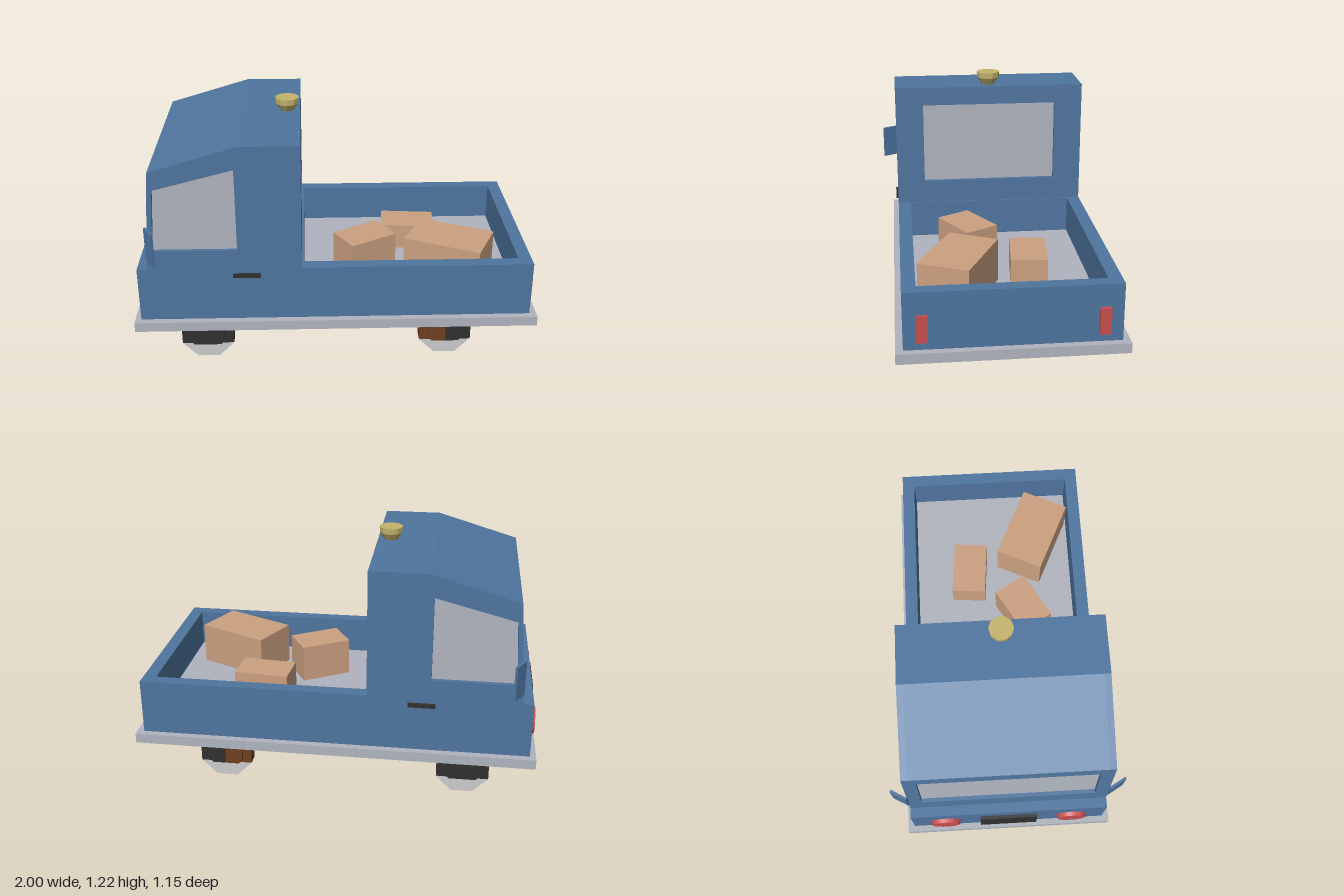
import * as THREE from 'three';

const mat = (name, color, side = THREE.FrontSide) => {
  const m = new THREE.MeshStandardMaterial({ color, side });
  m.name = name;
  return m;
};

export function createModel() {
  const truck = new THREE.Group();
  truck.name = 'pickupTruck';
  const blue = mat('blue paint', 0x4f759f);
  const gray = mat('light gray', 0xb0b4be);
  const dark = mat('dark rubber', 0x303030);
  const pale = mat('pale wheel', 0xcccccc);
  const brown = mat('rust brown', 0x6e4020);
  const tan = mat('cardboard', 0xcba080);
  const red = mat('red lamp', 0xc84e50);
  const yellow = mat('yellow beacon', 0xc4b46c);

  const add = (name, geo, material, parent = truck) => {
    const m = new THREE.Mesh(geo, material);
    m.name = name;
    parent.add(m);
    return m;
  };
  // Box from minimum and maximum corners
  const box = (name, a, b, material) => {
    const g = new THREE.BoxGeometry(b[0] - a[0], b[1] - a[1], b[2] - a[2]);
    g.translate((a[0] + b[0]) / 2, (a[1] + b[1]) / 2, (a[2] + b[2]) / 2);
    return add(name, g, material);
  };
  const points = (list) => list.map(([x, y]) => new THREE.Vector2(x, y));
  const rect = (x0, y0, x1, y1) => [[x0, y0], [x1, y0], [x1, y1], [x0, y1]];
  // Plate of a given depth, with an optional opening
  const plate = (outline, depth, hole) => {
    const s = new THREE.Shape(points(outline));
    if (hole) s.holes.push(new THREE.Path(points(hole)));
    return new THREE.ExtrudeGeometry(s, { depth, bevelEnabled: false });
  };

  // Chassis, lower body with open bed, and bed floor
  box('chassisPlate', [-1, 0.19, -0.53], [1, 0.24, 0.53], gray);
  const body = plate(rect(-0.97, -0.495, 0.965, 0.495), 0.28, rect(-0.16, -0.43, 0.9, 0.43));
  add('lowerBody', body.rotateX(-Math.PI / 2).translate(0, 0.24, 0), blue);
  box('bedFloor', [-0.16, 0.24, -0.43], [0.9, 0.33, 0.43], gray);

  // Cab sides with window openings
  const profile = [[-0.92, 0.52], [-0.17, 0.52], [-0.17, 1.155], [-0.46, 1.155], [-0.88, 1.03]];
  const sideWindow = [[-0.885, 0.62], [-0.48, 0.62], [-0.48, 1.04], [-0.864, 0.94]];
  for (const z of [-0.495, 0.465]) {
    add('cabSide', plate(profile, 0.03, sideWindow).translate(0, 0, z), blue);
  }

  // Cab roof, back wall and sloping front wall
  const roof = [[-0.88, 1.03], [-0.85, 1.0], [-0.46, 1.115], [-0.17, 1.115], [-0.17, 1.155], [-0.46, 1.155]];
  add('cabRoof', plate(roof, 0.93).translate(0, 0, -0.465), blue);
  const back = plate(rect(-0.465, 0.52, 0.465, 1.115), 0.03, rect(-0.35, 0.64, 0.35, 1.06));
  add('cabBackWall', back.rotateY(Math.PI / 2).translate(-0.2, 0, 0), blue);
  const front = plate(rect(-0.465, 0.52, 0.465, 1.03), 0.03, rect(-0.43, 0.62, 0.43, 0.96));
  front.rotateY(Math.PI / 2);
  const p = front.attributes.position;
  for (let i = 0; i < p.count; i++) {
    p.setX(i, p.getX(i) - 0.92 + (p.getY(i) - 0.52) * (0.04 / 0.51));
  }
  front.computeVertexNormals();
  add('cabFrontWall', front, blue);

  // Recessed glazing behind all window openings
  const glass = [[-0.9, 0.53], [-0.19, 0.53], [-0.19, 1.12], [-0.455, 1.12], [-0.863, 0.995]];
  add('windowGlass', plate(glass, 0.95).translate(0, 0, -0.475), gray);

  // Roof beacon
  const beacon = new THREE.LatheGeometry(points([[0, 0], [0.034, 0], [0.058, 0.036], [0.06, 0.065], [0, 0.065]]), 10);
  const beaconFlat = beacon.toNonIndexed();
  beaconFlat.computeVertexNormals();
  add('beacon', beaconFlat, yellow).position.set(-0.235, 1.157, 0);

  // Mirrors, handles and lamps on both sides
  for (const s of [-1, 1]) {
    const mirror = add('sideMirror', new THREE.BoxGeometry(0.012, 0.175, 0.09), blue);
    mirror.position.set(-0.891, 0.662, s * 0.533);
    mirror.rotation.y = s * 0.52;
    const z = s * 0.5;
    box('doorHandle', [-0.505, 0.475, z - 0.008], [-0.37, 0.495, z + 0.008], dark);
    box('tailLamp', [0.96, 0.28, s * 0.41 - 0.026], [0.982, 0.41, s * 0.41 + 0.026], red);
    const lamp = new THREE.CylinderGeometry(0.07, 0.08, 0.025, 14).rotateZ(Math.PI / 2);
    add('headLamp', lamp, red).position.set(-0.977, 0.355, s * 0.325);
  }
  box('grille', [-0.987, 0.265, -0.145], [-0.965, 0.445, 0.145], dark);

  // Wheels: eight-sided tyre and hub, each in a pale lower and two upper pieces
  const wheelPart = (name, a, depth, z, rearColor, parent) => {
    const t = a * 0.4142, c = 0.0538, w = a + t - c;
    const half = [[0, -c], [w, -c], [a, -t + 0.0005], [a, t], [t, a], [0, a]];
    const lower = [[-t, -a], [t, -a], [w, -c], [-w, -c]];
    const pieces = [[lower, pale], [half, dark], [half.map(([x, y]) => [-x, y]), rearColor]];
    for (const [outline, material] of pieces) {
      add(name, plate(outline, depth).translate(0, 0, z), material, parent);
    }
  };
  for (const [x, color, label] of [[-0.65, dark, 'frontWheel'], [0.55, brown, 'rearWheel']]) {
    for (const s of [-1, 1]) {
      const wheel = new THREE.Group();
      wheel.name = label;
      wheel.position.set(x, 0.13, s * 0.4325);
      wheelPart('tyre', 0.13, 0.065, -0.0325, color, wheel);
      wheelPart('hub', 0.085, 0.016, s > 0 ? 0.0325 : -0.0485, color, wheel);
      truck.add(wheel);
    }
  }

  // Parcels: x, z, length, width, top height, turn
  const parcels = [
    [0.585, 0.22, 0.398, 0.255, 0.545, -0.44],
    [0.155, 0.145, 0.267, 0.184, 0.525, 0.53],
    [0.403, -0.137, 0.281, 0.18, 0.465, -0.09],
  ];
  for (const [x, z, l, w, top, turn] of parcels) {
    const parcel = add('parcel', new THREE.BoxGeometry(l, top - 0.33, w), tan);
    parcel.position.set(x, (top + 0.33) / 2, z);
    parcel.rotation.y = turn;
  }
  return truck;
}
